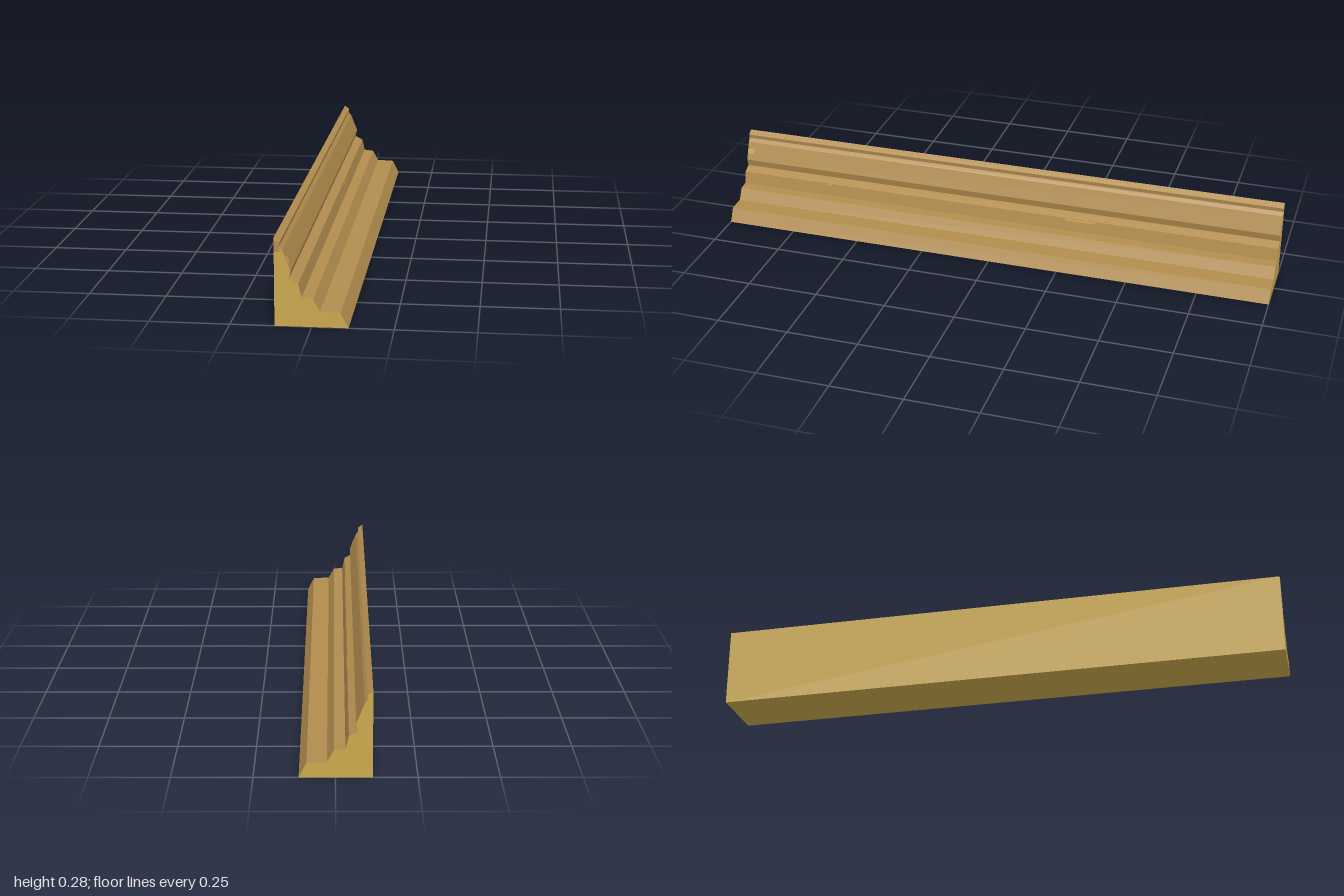
import * as THREE from 'three';

// Stepped cross-section, from the lower outer edge up to the top of the back
const STEPS = [
  [0.112, 0], [0.088, 0.047], [0.026, 0.05], [0.005, 0.088], [-0.03, 0.092],
  [-0.04, 0.135], [-0.068, 0.15], [-0.062, 0.175], [-0.087, 0.238],
  [-0.097, 0.25], [-0.095, 0.264], [-0.113, 0.277],
];
const BACK = -0.113;
const HALF = 1;

// Flat faces swept along z over an open run of profile points
function sweep(points, z0 = -HALF, z1 = HALF) {
  const pos = [];
  for (let i = 0; i + 1 < points.length; i++) {
    const [ax, ay] = points[i], [bx, by] = points[i + 1];
    pos.push(ax, ay, z1, ax, ay, z0, bx, by, z0);
    pos.push(ax, ay, z1, bx, by, z0, bx, by, z1);
  }
  const g = new THREE.BufferGeometry();
  g.setAttribute('position', new THREE.Float32BufferAttribute(pos, 3));
  g.computeVertexNormals();
  return g;
}

function flatShape(points) {
  return new THREE.ShapeGeometry(new THREE.Shape(points.map(([x, y]) => new THREE.Vector2(x, y))));
}

export function createModel() {
  const model = new THREE.Group();
  model.name = 'corniceMoulding';
  const gold = new THREE.MeshStandardMaterial({ name: 'gold', color: 0xcaa84c });
  const brown = new THREE.MeshStandardMaterial({ name: 'brown', color: 0xb28c4e });

  const add = (name, geometry, material) => {
    const mesh = new THREE.Mesh(geometry, material);
    mesh.name = name;
    model.add(mesh);
    return mesh;
  };

  // Moulded face, then the flat back and underside
  add('mouldedFace', sweep(STEPS), brown);
  add('backAndUnderside', sweep([[BACK, 0.277], [BACK, 0], [0.112, 0]]), gold);

  // End caps
  const outline = [[BACK, 0], ...STEPS];
  add('frontEnd', flatShape(outline), gold).position.z = HALF;
  const rear = add('rearEnd', flatShape(outline.map(([x, y]) => [-x, y])), gold);
  rear.rotation.y = Math.PI;
  rear.position.z = -HALF;

  // Brown patch near the top of the front end
  add('frontEndPatch', flatShape([
    [BACK, 0.234], [-0.095, 0.235], [-0.095, 0.247], [-0.097, 0.25],
    [-0.095, 0.264], [-0.102, 0.267], [BACK, 0.266],
  ]), brown).position.z = HALF + 0.0005;

  // Small worn gold marks lying on the moulded faces
  const marks = [
    [4, 0.82, 0.96, -0.35, -0.24],
    [4, 0.86, 0.96, 0.65, 0.67],
    [8 - 1, 0.35, 0.65, 0.975, 0.998],
  ];
  for (const [i, t0, t1, z0, z1] of marks) {
    const a = STEPS[i], b = STEPS[i + 1];
    const at = (t) => [a[0] + (b[0] - a[0]) * t + 0.001, a[1] + (b[1] - a[1]) * t];
    add('wornMark', sweep([at(t0), at(t1)], z0, z1), gold);
  }
  return model;
}
